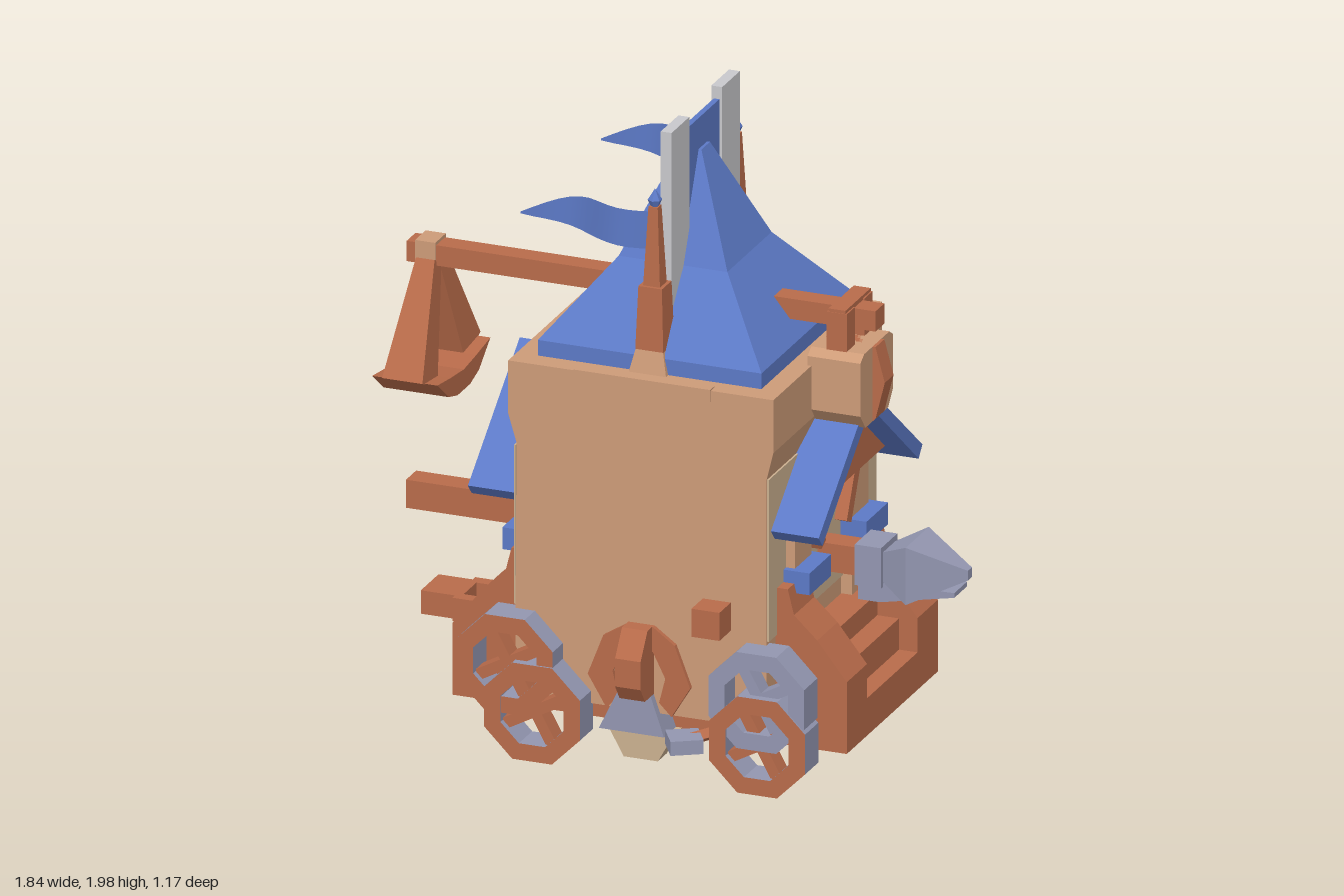
import * as THREE from 'three';

const mat = (name, color, extra = {}) => new THREE.MeshStandardMaterial({ name, color, ...extra });
const M = {
  wood: mat('wood', 0xb86b4a), tan: mat('tan planks', 0xcd9b78), blue: mat('blue cloth', 0x5c79c6),
  steel: mat('steel', 0x9396b0), pale: mat('pale metal', 0xc8c8cc), sand: mat('sand', 0xcbb090),
  flag: mat('flag cloth', 0x5c79c6, { side: THREE.DoubleSide }),
};
const CX = 0.035; // the tower sits a little off centre

function add(parent, name, geo, material, x = 0, y = 0, z = 0) {
  const mesh = new THREE.Mesh(geo, material);
  mesh.name = name;
  mesh.position.set(x, y, z);
  parent.add(mesh);
  return mesh;
}
// Box given by its limits
function box(parent, name, m, x0, x1, y0, y1, z0, z1) {
  return add(parent, name, new THREE.BoxGeometry(x1 - x0, y1 - y0, z1 - z0), m,
    (x0 + x1) / 2, (y0 + y1) / 2, (z0 + z1) / 2);
}
function facet(geo) {
  const g = geo.toNonIndexed();
  g.computeVertexNormals();
  return g;
}
const shapeOf = pts => new THREE.Shape(pts.map(p => new THREE.Vector2(...p)));
// Outline in x,y pushed from z0 to z1
function slabZ(parent, name, m, pts, z0, z1) {
  const g = new THREE.ExtrudeGeometry(shapeOf(pts), { depth: z1 - z0, bevelEnabled: false });
  return add(parent, name, g, m, 0, 0, z0);
}
// Outline in z,y pushed from x0 to x1
function slabX(parent, name, m, pts, x0, x1) {
  const g = new THREE.ExtrudeGeometry(shapeOf(pts.map(([z, y]) => [-z, y])), { depth: x1 - x0, bevelEnabled: false });
  g.rotateY(Math.PI / 2);
  return add(parent, name, g, m, x0, 0, 0);
}
// Square upright taper
function taper(parent, name, m, r0, r1, y0, y1, x, z) {
  const g = new THREE.CylinderGeometry(r1 * Math.SQRT2, r0 * Math.SQRT2, y1 - y0, 4).rotateY(Math.PI / 4);
  return add(parent, name, facet(g), m, x, (y0 + y1) / 2, z);
}
// Square bar between two points
function bar(parent, name, m, a, b, w0, w1 = w0) {
  const A = new THREE.Vector3(...a), B = new THREE.Vector3(...b), d = B.clone().sub(A);
  const g = new THREE.CylinderGeometry(w1 * Math.SQRT1_2, w0 * Math.SQRT1_2, d.length(), 4).rotateY(Math.PI / 4);
  const mesh = add(parent, name, facet(g), m);
  mesh.position.copy(A).add(B).multiplyScalar(0.5);
  mesh.quaternion.setFromUnitVectors(new THREE.Vector3(0, 1, 0), d.normalize());
  return mesh;
}
const ngon = (r, n = 8, turn = 0) => Array.from({ length: n }, (_, i) => {
  const a = (i / n) * Math.PI * 2 + turn;
  return new THREE.Vector2(Math.cos(a) * r, Math.sin(a) * r);
});

// Eight-sided wheel: ring with a coloured face, steel tread and slatted hub
function wheel(parent, x, y, side, face, inset) {
  const g = new THREE.Group();
  g.name = 'wheel';
  const s = new THREE.Shape(ngon(0.167, 8, Math.PI / 8));
  s.holes.push(new THREE.Path(ngon(0.11, 8, Math.PI / 8)));
  add(g, 'wheelRim', new THREE.ExtrudeGeometry(s, { depth: 0.105, bevelEnabled: false }), [face, M.steel]);
  for (const a of [0.5, 0.5 + Math.PI / 2]) {
    add(g, 'wheelSpoke', new THREE.BoxGeometry(0.23, 0.035, 0.06), face, 0, 0, 0.055).rotation.z = a;
  }
  g.position.set(x, y, side * (0.412 - inset));
  g.scale.z = side;
  parent.add(g);
}

// Porch, posts and awning for one end of the tower
function endPorch() {
  const g = new THREE.Group();
  g.name = 'endPorch';
  slabX(g, 'gable', M.wood, [[-0.31, 0.85], [0.31, 0.85], [0, 1.1]], 0.42, 0.52);
  for (const s of [1, -1]) {
    const roof = [[0, 1.155], [0, 1.1], [s * 0.38, 0.795], [s * 0.41, 0.83]];
    slabX(g, 'awning', M.blue, roof, 0.42, 0.6);
    const z = (a, b) => (s > 0 ? [a, b] : [-b, -a]);
    box(g, 'doorPost', M.tan, 0.4, 0.475, 0.2, 0.86, ...z(0.16, 0.29));
    box(g, 'strap', M.blue, 0.41, 0.53, 0.6, 0.67, ...z(0.14, 0.31));
    slabZ(g, 'cornerPost', M.wood, [[0.2, 0.13], [0.67, 0.13], [0.67, 0.36], [0.575, 0.48],
      [0.5, 0.55], [0.48, 0.63], [0.42, 0.63]], ...z(0.2, 0.36));
    bar(g, 'brace', M.wood, [0.47, 0.68, s * 0.1], [0.47, 0.83, s * 0.17], 0.04);
  }
  box(g, 'porchFloor', M.wood, 0.3, 0.61, 0.14, 0.35, -0.3, 0.3);
  box(g, 'doorStep', M.wood, 0.4, 0.54, 0.35, 0.42, -0.2, 0.2);
  return g;
}

// Hanging trough at the end of the long beam
function hangingTrough(parent) {
  box(parent, 'beam', M.wood, -0.88, 0.63, 1.36, 1.425, -0.035, 0.035);
  box(parent, 'beamJoint', M.tan, -0.85, -0.785, 1.35, 1.435, -0.042, 0.042);
  for (const s of [1, -1]) {
    bar(parent, 'troughHanger', M.wood, [-0.815, 1.37, s * 0.02], [-0.815, 1.03, s * 0.17], 0.06, 0.13);
  }
  slabX(parent, 'trough', M.wood, [[-0.21, 1.05], [-0.12, 0.98], [-0.05, 0.96], [0.05, 0.96], [0.12, 0.98],
    [0.21, 1.05], [0.1, 1.035], [0, 1.025], [-0.1, 1.035]], -0.92, -0.71);
}

// Pulley block over the porch on the left end
function pulley(parent) {
  slabX(parent, 'pulleyCheeks', M.tan, [[-0.13, 1.12], [-0.09, 1.07], [0.09, 1.07], [0.13, 1.12],
    [0.13, 1.29], [0.1, 1.31], [-0.1, 1.31], [-0.13, 1.29]], 0.45, 0.62);
  slabZ(parent, 'pulleyWheel', M.wood, [[0.46, 1.1], [0.6, 1.05], [0.63, 1.08], [0.66, 1.2], [0.63, 1.31], [0.46, 1.31]], -0.035, 0.035);
  for (const s of [-1, 1]) {
    box(parent, 'pulleyPost', M.wood, 0.5, 0.565, 1.29, 1.43, s * 0.07 - 0.032, s * 0.07 + 0.032);
  }
  box(parent, 'pulleyCap', M.wood, 0.505, 0.56, 1.42, 1.44, -0.1, 0.1);
}

// Battering ram: square steel head, collar and wooden shaft
function ram(parent) {
  box(parent, 'ramShaft', M.wood, -0.88, 0.6, 0.57, 0.66, -0.04, 0.04);
  box(parent, 'ramCollar', M.steel, 0.575, 0.66, 0.55, 0.68, -0.065, 0.065);
  const prof = [[0, 0.64], [0.055, 0.64], [0.13, 0.75], [0.022, 0.92], [0, 0.92]].map(p => new THREE.Vector2(...p));
  const head = new THREE.LatheGeometry(prof, 4, Math.PI / 4).rotateZ(-Math.PI / 2);
  add(parent, 'ramHead', facet(head), M.steel, 0, 0.613, 0);
  slabZ(parent, 'ramJaw', M.steel, [[0.58, 0.5], [0.65, 0.5], [0.89, 0.55], [0.89, 0.565], [0.58, 0.56]], -0.05, 0.05);
  // looped step under the shaft's rear end
  for (const s of [-1, 1]) box(parent, 'rearStepRail', M.wood, -0.71, -0.5, 0.25, 0.325, s * 0.07 - 0.02, s * 0.07 + 0.02);
  slabZ(parent, 'rearStepEnd', M.wood, [[-0.82, 0.25], [-0.69, 0.25], [-0.69, 0.325], [-0.82, 0.325]], -0.07, 0.07);
}

// Pole with base, spike and waving flag
function flagPole(parent, s) {
  const z = s * 0.318;
  taper(parent, 'poleFoot', M.tan, 0.06, 0.042, 1.26, 1.34, CX, z);
  taper(parent, 'poleBase', M.wood, 0.045, 0.038, 1.33, 1.53, CX, z);
  taper(parent, 'pole', M.wood, 0.027, 0.015, 1.53, 1.78, CX, z);
  const tip = new THREE.LatheGeometry([[0.008, 1.77], [0.022, 1.8], [0, 1.835]].map(p => new THREE.Vector2(...p)), 6);
  add(parent, 'poleTip', facet(tip), M.blue, CX, 0, z);
  const geo = new THREE.PlaneGeometry(0.42, 1, 12, 1);
  const p = geo.attributes.position;
  for (let i = 0; i < p.count; i++) {
    const t = (0.21 - p.getX(i)) / 0.42;
    const half = 0.06 * (t < 0.45 ? 1 : 1 - ((t - 0.45) / 0.55) ** 1.5 * 0.95);
    p.setY(i, 1.70 + 0.01 * Math.sin(t * 3) + Math.sign(p.getY(i)) * half);
    p.setZ(i, 0.03 * Math.sin(t * 7));
  }
  geo.computeVertexNormals();
  add(parent, 'flag', geo, M.flag, -0.18, 0, z);
}

export function createModel() {
  const root = new THREE.Group();
  root.name = 'siegeTower';

  // tower walls, with sand coloured ends below the overhang
  const wall = [[-0.37, 0.2], [0.44, 0.2], [0.44, 1.0], [0.462, 1.09], [0.462, 1.26],
    [-0.392, 1.26], [-0.392, 1.09], [-0.365, 1.0]];
  slabZ(root, 'towerWalls', M.tan, wall, -0.43, 0.43);
  box(root, 'sandPanel', M.sand, 0.44, 0.446, 0.48, 1.0, -0.425, 0.425);
  box(root, 'sandPanel', M.sand, -0.376, -0.37, 0.48, 0.99, -0.425, 0.425);

  // swept roof
  const prof = [[0.36, 1.26], [0.36, 1.31], [0.175, 1.54], [0.034, 1.86], [0, 1.862]]
    .map(([r, y]) => new THREE.Vector2(r * Math.SQRT2, y));
  add(root, 'roof', facet(new THREE.LatheGeometry(prof, 4, Math.PI / 4)), M.blue, CX, 0, 0);

  // tall banner between two pale boards
  box(root, 'banner', M.blue, 0.042, 0.06, 1.4, 1.96, -0.135, 0.135);
  for (const s of [-1, 1]) {
    box(root, 'bannerBoard', M.pale, 0.034, 0.069, 1.35, 2, s * 0.2 - 0.07, s * 0.2 + 0.07);
    flagPole(root, s);
  }

  const left = endPorch(), right = endPorch();
  right.rotation.y = Math.PI;
  right.position.x = CX * 2;
  root.add(left, right);
  hangingTrough(root);
  pulley(root);
  ram(root);

  // chassis and belly roller
  box(root, 'chassis', M.wood, -0.6, 0.67, 0.13, 0.25, -0.36, 0.36);
  box(root, 'bellyPlate', M.steel, -0.33, 0.4, 0.125, 0.14, -0.28, 0.28);
  const roller = new THREE.CylinderGeometry(0.075, 0.075, 0.82, 8).rotateX(Math.PI / 2);
  add(root, 'roller', facet(roller), M.wood, CX, 0.125, 0);

  for (const s of [-1, 1]) {
    const z = (a, b) => (s > 0 ? [a, b] : [-b, -a]);
    // wheels in overlapping pairs
    wheel(root, 0.445, 0.175, s, M.wood, 0);
    wheel(root, 0.44, 0.315, s, s > 0 ? M.steel : M.wood, 0.006);
    wheel(root, -0.28, 0.175, s, M.wood, 0);
    wheel(root, -0.37, 0.315, s, M.wood, 0.006);
    // middle bracket: arch, peg, steel foot and roller cap
    slabZ(root, 'arch', M.wood, [[-0.07, 0.2], [-0.13, 0.3], [-0.08, 0.43], [0, 0.48], [0.08, 0.48], [0.15, 0.43],
      [0.2, 0.3], [0.14, 0.2], [0.1, 0.24], [0.12, 0.32], [0.08, 0.4], [0, 0.4], [-0.05, 0.32], [-0.03, 0.24]], ...z(0.42, 0.445));
    slabX(root, 'peg', M.wood, [[s * 0.42, 0.26], [s * 0.5, 0.26], [s * 0.535, 0.31], [s * 0.535, 0.4], [s * 0.48, 0.48], [s * 0.42, 0.48]], -0.005, 0.077);
    slabZ(root, 'steelFoot', M.steel, [[-0.09, 0.135], [0.12, 0.135], [0.07, 0.28], [-0.02, 0.28]], ...z(0.36, 0.455));
    slabZ(root, 'rollerCap', M.sand, [[-0.02, 0.045], [0.09, 0.045], [0.14, 0.135], [-0.07, 0.135]], ...z(0.36, 0.43));
    // small wall block and loose hammer
    box(root, 'wallBlock', M.wood, 0.235, 0.325, 0.5, 0.59, ...z(0.42, 0.52));
    const hx = s > 0 ? 0.21 : -0.05;
    add(root, 'hammerHead', new THREE.BoxGeometry(0.1, 0.045, 0.1), M.steel, hx, 0.157, s * 0.515).rotation.y = 0.55;
    bar(root, 'hammerHandle', M.wood, [hx, 0.157, s * 0.5], [hx + 0.1, 0.18, s * 0.42], 0.03);
    // curved lip along the top edge
    slabZ(root, 'topLip', M.tan, [[-0.18, 1.225], [0.26, 1.225], [0.26, 1.264], [-0.18, 1.264]], ...z(0.4, 0.434));
  }
  return root;
}
